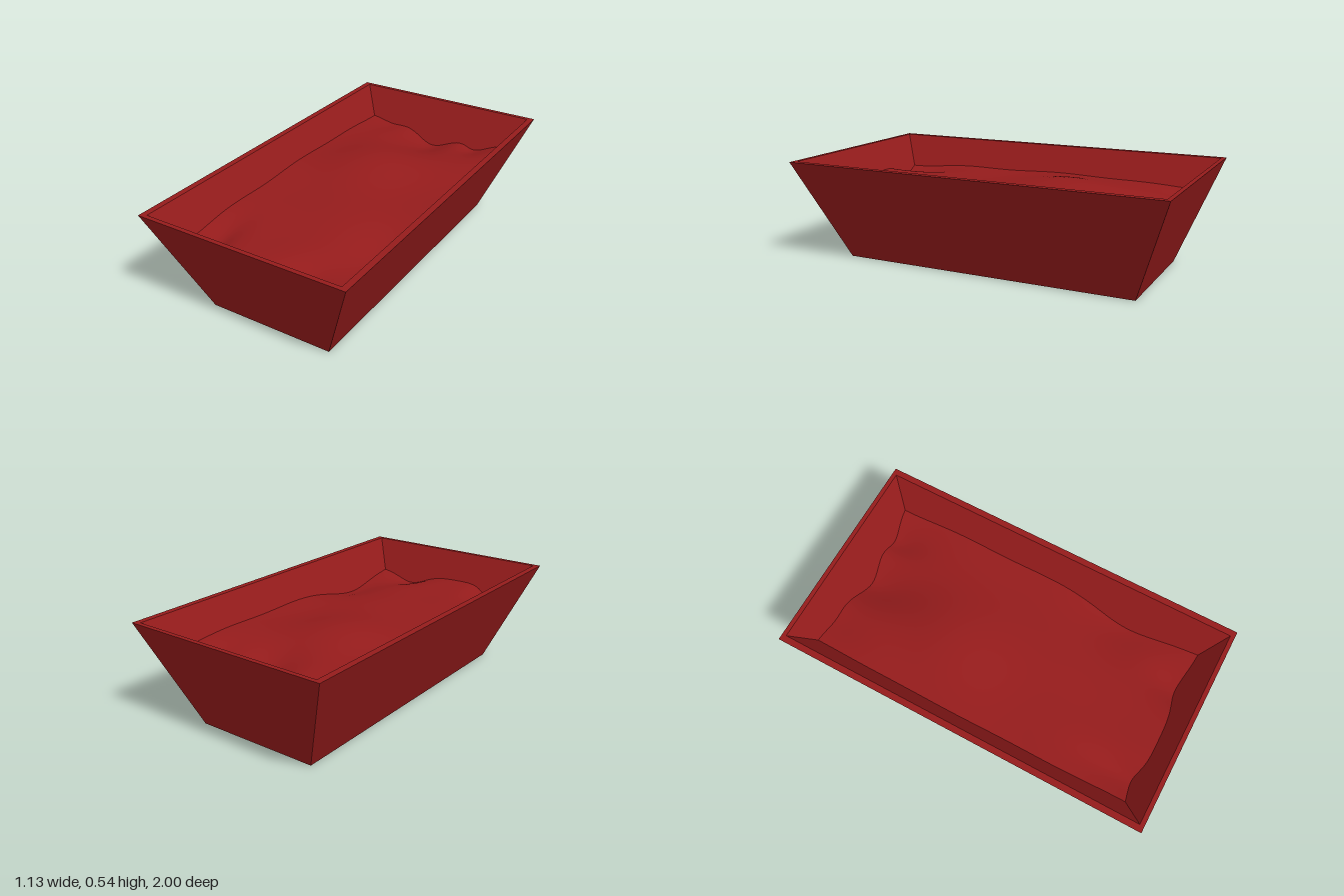
import * as THREE from 'three';

const RIM = 0.54;
const SLOPE_X = 0.57, SLOPE_Z = 0.55;
// half width and half length of the inside at height y
const innerX = y => 0.53 - SLOPE_X * (RIM - y);
const innerZ = y => 0.977 - SLOPE_Z * (RIM - y);

// tapered trough: four rectangular rings joined by flat walls
function troughGeometry() {
  const floor = 0.2;
  const rings = [
    [0.337, 0, 0.8], [0.563, RIM, 1],
    [innerX(RIM), RIM, innerZ(RIM)], [innerX(floor), floor, innerZ(floor)],
  ].map(([x, y, z]) => [[x, y, z], [x, y, -z], [-x, y, -z], [-x, y, z]]);
  const pos = [];
  const quad = (a, b, c, d) => pos.push(...a, ...b, ...c, ...a, ...c, ...d);
  for (let r = 0; r < 3; r++) {
    for (let i = 0; i < 4; i++) {
      const j = (i + 1) % 4;
      quad(rings[r][i], rings[r][j], rings[r + 1][j], rings[r + 1][i]);
    }
  }
  quad(...rings[3]);
  quad(...[...rings[0]].reverse());
  const geo = new THREE.BufferGeometry();
  geo.setAttribute('position', new THREE.Float32BufferAttribute(pos, 3));
  geo.computeVertexNormals();
  return geo;
}

// mounds and hollows of the filling: x, z, spread x, spread z, height
const BUMPS = [
  [-0.08, -0.25, 0.28, 0.32, 0.05],
  [0, -0.9, 0.17, 0.3, -0.09],
  [0.29, -0.9, 0.1, 0.2, -0.06],
  [-0.3, -0.9, 0.1, 0.2, -0.025],
  [0.46, 0.53, 0.2, 0.25, -0.06],
  [-0.34, 0.9, 0.1, 0.3, -0.055],
  [0.23, 0.9, 0.14, 0.22, -0.06],
];
function fillHeight(x, z) {
  let y = 0.388 + 0.005 * Math.sin(9 * x + 4 * z) * Math.sin(7 * z - 3 * x);
  for (const [bx, bz, sx, sz, h] of BUMPS) {
    y += h * Math.exp(-(((x - bx) / sx) ** 2) - ((z - bz) / sz) ** 2);
  }
  return y;
}

// uneven filling, stretched so its border follows the sloping walls
function fillGeometry() {
  const geo = new THREE.PlaneGeometry(2, 2, 40, 72).rotateX(-Math.PI / 2);
  const p = geo.attributes.position;
  for (let i = 0; i < p.count; i++) {
    const u = p.getX(i), v = p.getZ(i);
    const y = fillHeight(u * 0.44, v * 0.89);
    p.setXYZ(i, u * (innerX(y) + 0.002), y, v * (innerZ(y) + 0.002));
  }
  geo.computeVertexNormals();
  return geo;
}

export function createModel() {
  const group = new THREE.Group();
  group.name = 'planter';
  const material = new THREE.MeshStandardMaterial({ color: 0x941b1b });
  const add = (name, geo) => {
    const mesh = new THREE.Mesh(geo, material);
    mesh.name = name;
    group.add(mesh);
  };
  add('trough', troughGeometry());
  add('filling', fillGeometry());
  return group;
}
